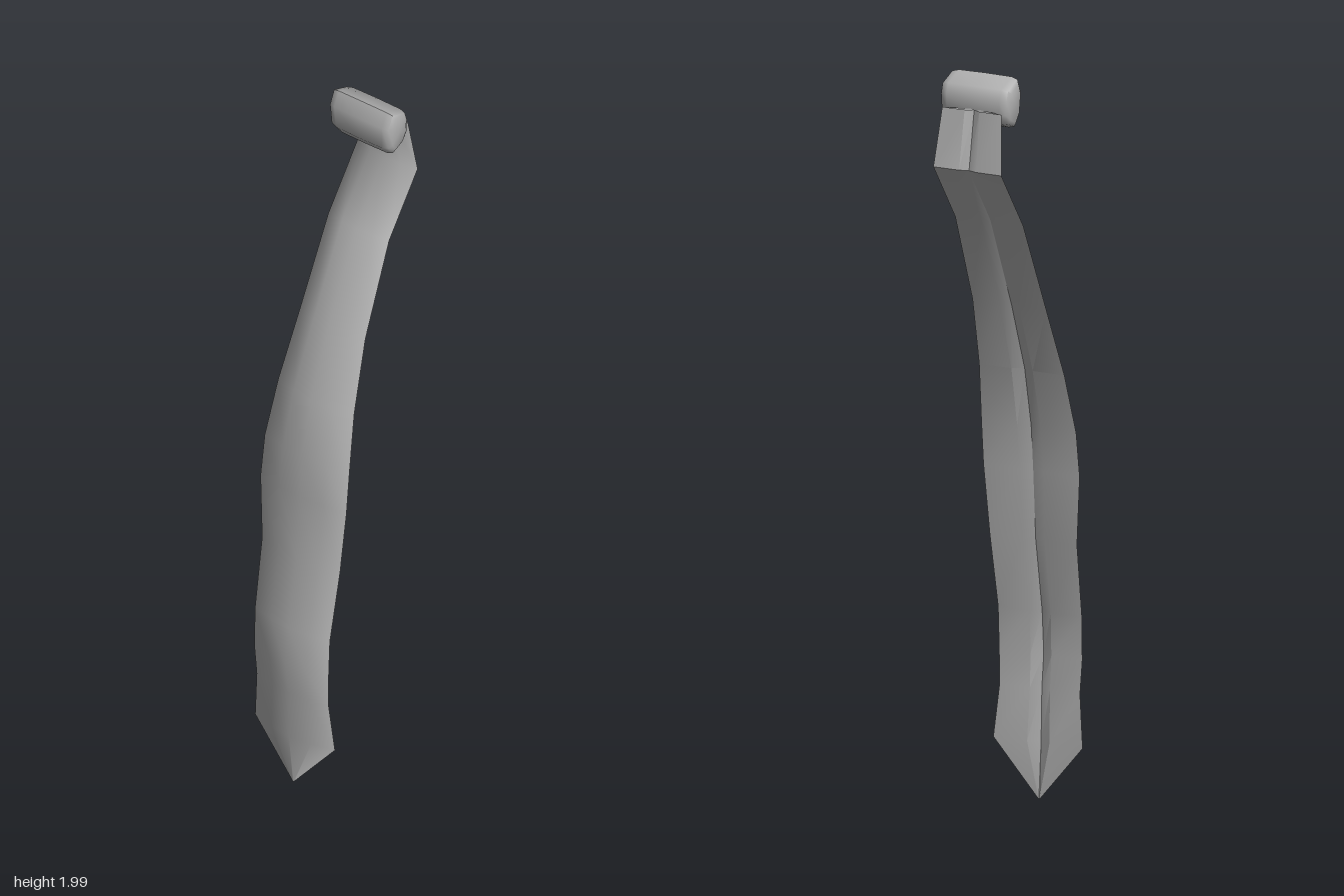
import * as THREE from 'three';
import { toCreasedNormals } from 'three/addons/utils/BufferGeometryUtils.js';

// Blade stations from tip to neck: [y, half width, ridge z, edge z]
const STATIONS = [
  [0.01, 0.003, 0.182, 0.178], [0.16, 0.13, 0.198, 0.172], [0.3, 0.117, 0.199, 0.182],
  [0.39, 0.121, 0.212, 0.187], [0.505, 0.122, 0.201, 0.183], [0.705, 0.127, 0.166, 0.147],
  [0.89, 0.14, 0.151, 0.137], [1.01, 0.138, 0.142, 0.122], [1.17, 0.124, 0.108, 0.084],
  [1.36, 0.107, 0.032, 0.016], [1.605, 0.099, -0.082, -0.093], [1.765, 0.099, -0.198, -0.212],
  [1.92, 0.086, -0.168, -0.188],
];

// Joins a grid of points into a surface; flip turns it to face the other way
function gridGeometry(rows, flip) {
  const n = rows[0].length;
  const index = [];
  for (let r = 0; r < rows.length - 1; r++) {
    for (let c = 0; c < n - 1; c++) {
      const a = r * n + c, b = a + 1, d = a + n, e = d + 1;
      if (flip) index.push(a, d, b, b, d, e);
      else index.push(a, b, d, b, e, d);
    }
  }
  const geo = new THREE.BufferGeometry();
  geo.setAttribute('position', new THREE.Float32BufferAttribute(rows.flat(2), 3));
  geo.setIndex(index);
  geo.computeVertexNormals();
  return geo;
}

// Columns are [fraction of half width, fraction of the way from edge to ridge]
function bladeFace(columns, flip) {
  return gridGeometry(STATIONS.map(([y, w, zf, ze]) =>
    columns.map(([u, t]) => [u * w, y, ze + (zf - ze) * t])), flip);
}

function createKnot(material) {
  // Side profile as [z, y], lofted across x with rounded ends
  const profile = [[-0.1, 2], [-0.16, 1.978], [-0.17, 1.95], [-0.17, 1.91],
    [-0.155, 1.882], [-0.108, 1.865], [-0.084, 1.895], [-0.08, 1.96]];
  const ends = [[-0.094, 0.6], [-0.088, 0.86], [-0.07, 0.98], [0.007, 1],
    [0.084, 0.98], [0.102, 0.86], [0.108, 0.6]];
  const cz = -0.125, cy = 1.935;
  const rows = ends.map(([x, s]) => [...profile, profile[0]].map(([z, y]) => {
    const py = cy + (y - cy) * (0.4 + 0.6 * s);
    // the knot narrows towards its lower edge
    const px = 0.007 + (x - 0.007) * (1 - 0.9 * Math.max(0, cy - py));
    return [px, py, cz + (z - cz) * s];
  }));
  // close both ends at a centre point
  const cap = (row) => row.map(() => [row[0][0], cy, cz]);
  const geo = gridGeometry([cap(rows[0]), ...rows, cap(rows[rows.length - 1])], true);
  const knot = new THREE.Mesh(toCreasedNormals(geo, 1.0), material);
  knot.name = 'knot';
  return knot;
}

export function createModel() {
  const cloth = new THREE.MeshStandardMaterial({ color: 0xb0b0b0, side: THREE.DoubleSide });
  cloth.name = 'grey cloth';
  const model = new THREE.Group();
  model.name = 'necktie';

  // Rounded front, its normals rolled outward along the edges
  const front = [[-1, 0], [-0.5, 0.6], [0, 1], [0.5, 0.6], [1, 0]];
  const frontGeo = bladeFace(front, false);
  const normals = frontGeo.attributes.normal;
  const v = new THREE.Vector3();
  for (let i = 0; i < normals.count; i++) {
    v.fromBufferAttribute(normals, i);
    v.x += front[i % front.length][0] ** 3 * 0.9;
    v.normalize();
    normals.setXYZ(i, v.x, v.y, v.z);
  }
  const bladeFront = new THREE.Mesh(frontGeo, cloth);
  bladeFront.name = 'bladeFront';

  // Flat back folds meeting at a shallow centre groove
  const backGeo = bladeFace([[-1, 0], [-0.25, 0.05], [0, 0.65], [0.25, 0.05], [1, 0]], true);
  const bladeBack = new THREE.Mesh(toCreasedNormals(backGeo, 0.4), cloth);
  bladeBack.name = 'bladeBack';

  model.add(bladeFront, bladeBack, createKnot(cloth));
  return model;
}
